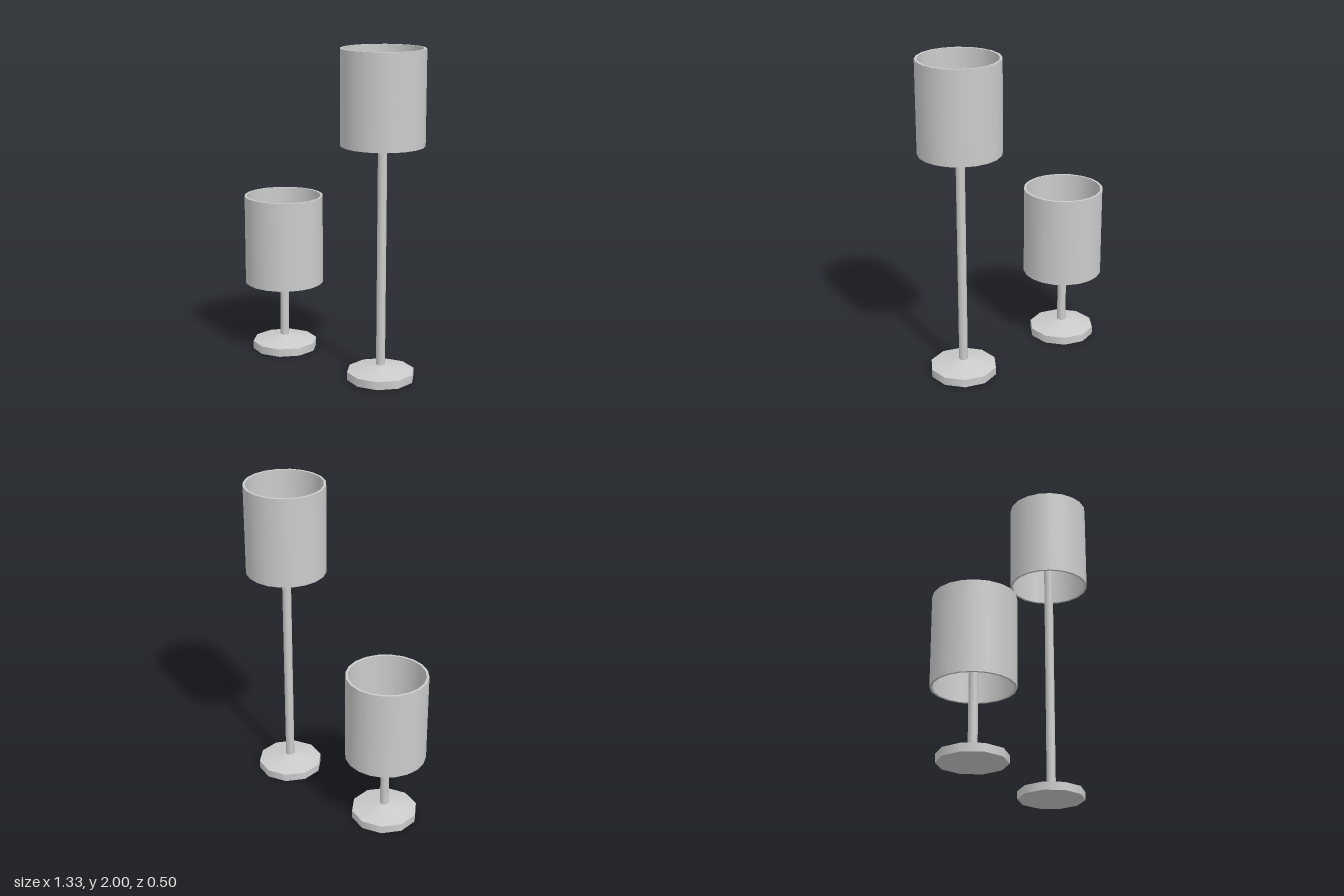
import * as THREE from 'three';
import { mergeGeometries } from 'three/addons/utils/BufferGeometryUtils.js';

const material = new THREE.MeshStandardMaterial({ color: 0xcccccc });

// Turned part with a sharp edge at every profile point
function turned(name, profile, sides) {
  const pts = profile.map(([r, y]) => new THREE.Vector2(r, y));
  const bands = pts.slice(1).map((p, i) => new THREE.LatheGeometry([pts[i], p], sides));
  const mesh = new THREE.Mesh(mergeGeometries(bands), material);
  mesh.name = name;
  return mesh;
}

function createLamp(name, x, top) {
  const lamp = new THREE.Group();
  lamp.name = name;
  lamp.position.x = x;
  const bottom = top - 0.565;
  const mid = top - 0.28;

  // Ten-sided foot with a shallow conical top
  lamp.add(turned('base', [[0, 0], [0.207, 0], [0.207, 0.05], [0.02, 0.09]], 10));

  // Pole and round finial inside the shade
  lamp.add(turned('pole', [[0.028, 0.06], [0.028, mid], [0, mid]], 10));
  const finial = new THREE.Mesh(new THREE.SphereGeometry(0.034, 10, 8), material);
  finial.name = 'finial';
  finial.position.y = mid;
  lamp.add(finial);

  // Open drum shade with wall thickness
  lamp.add(turned('shade', [
    [0.235, bottom], [0.25, bottom], [0.25, top], [0.235, top], [0.235, bottom],
  ], 20));

  // Tapered arms holding the shade
  for (const side of [-1, 1]) {
    const arm = new THREE.Mesh(new THREE.CylinderGeometry(0.003, 0.01, 0.24, 6), material);
    arm.name = side > 0 ? 'leftArm' : 'rightArm';
    arm.rotation.z = -side * Math.PI / 2;
    arm.position.set(side * 0.12, mid, 0);
    lamp.add(arm);
  }
  return lamp;
}

export function createModel() {
  const model = new THREE.Group();
  model.name = 'lampPair';
  model.add(createLamp('tallLamp', 0.413, 2), createLamp('shortLamp', -0.413, 1.012));
  return model;
}
